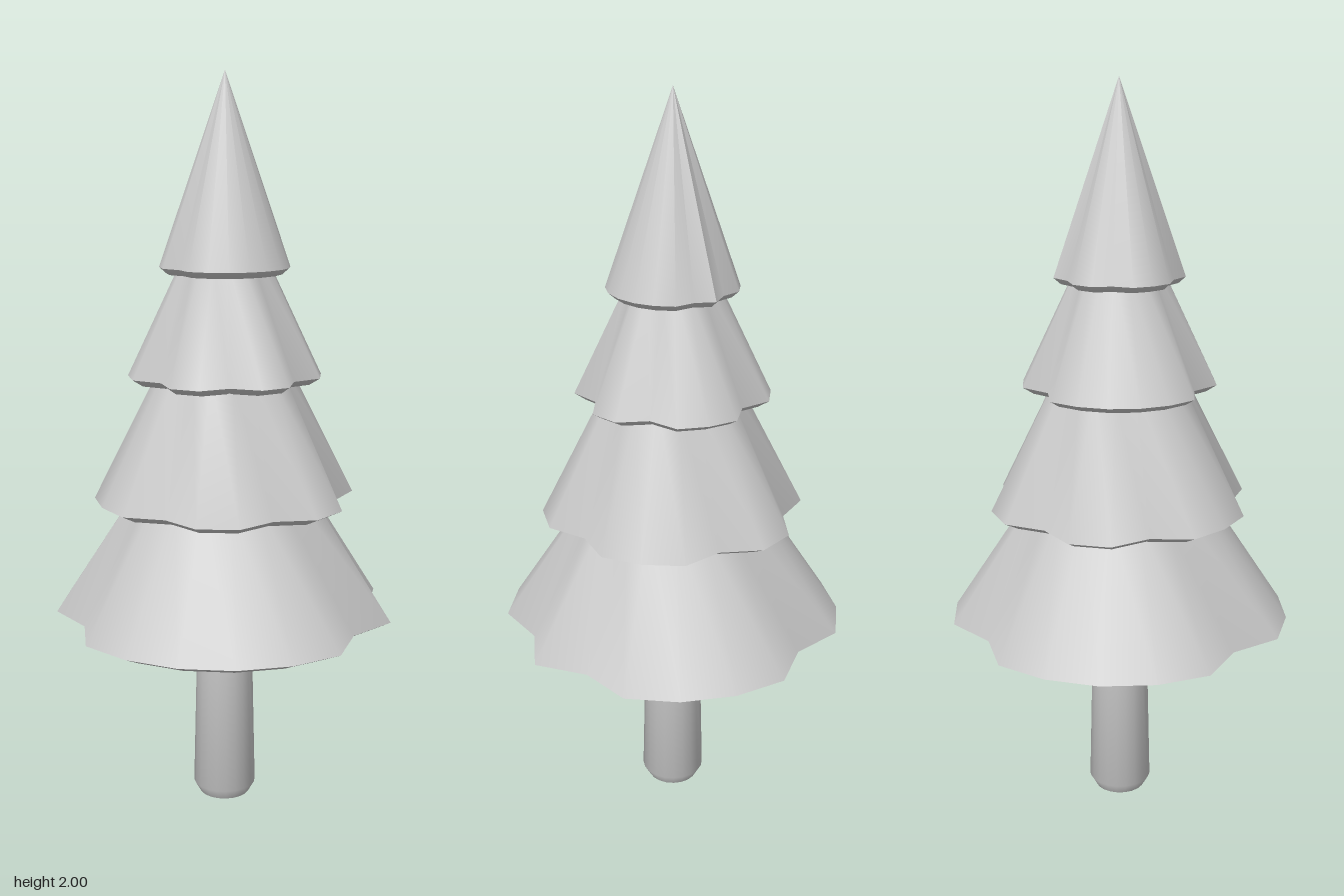
import * as THREE from 'three';
import { toCreasedNormals } from 'three/addons/utils/BufferGeometryUtils.js';

const SIDES = 20;
const material = new THREE.MeshStandardMaterial({ color: 0xcccccc });

// Joins rings of [y, radius, dent] from bottom to top; chosen corners are pulled inwards by dent.
function loft(rings, dents, turn) {
  const positions = [], index = [];
  for (const [y, radius, dent] of rings) {
    for (let i = 0; i < SIDES; i++) {
      const a = (i / SIDES) * Math.PI * 2 - Math.PI / 2 + turn;
      const r = radius * (dents.includes(i) ? dent : 1);
      positions.push(r * Math.cos(a), y, r * Math.sin(a));
    }
  }
  for (let k = 0; k < rings.length - 1; k++) {
    for (let i = 0; i < SIDES; i++) {
      const a = k * SIDES + i, b = k * SIDES + (i + 1) % SIDES;
      if (rings[k + 1][1] > 0) index.push(a, a + SIDES, b + SIDES);
      if (rings[k][1] > 0) index.push(a, rings[k + 1][1] > 0 ? b + SIDES : a + SIDES, b);
    }
  }
  const geometry = new THREE.BufferGeometry();
  geometry.setAttribute('position', new THREE.Float32BufferAttribute(positions, 3));
  geometry.setIndex(index);
  return toCreasedNormals(geometry, 1.0);
}

// Foliage tiers: flat underside, narrow bevel, notched rim, sloping skirt
const tiers = [
  { name: 'bottomTier', base: 0.52, rim: 0.545, r: 0.466, top: 0.9, topR: 0.235, dent: 0.87, dents: [0, 5, 7, 14], turn: 0 },
  { name: 'lowerMiddleTier', base: 0.855, rim: 0.875, r: 0.355, top: 1.23, topR: 0.175, dent: 0.86, dents: [2, 6, 9, 12, 16, 19], turn: -0.047 },
  { name: 'upperMiddleTier', base: 1.19, rim: 1.208, r: 0.26, top: 1.52, topR: 0.112, dent: 0.825, dents: [0, 4, 7, 10, 13], turn: 0 },
  { name: 'topTier', base: 1.48, rim: 1.497, r: 0.174, top: 2, topR: 0, dent: 0.88, dents: [0, 2, 13, 17], turn: 0 },
];

export function createModel() {
  const tree = new THREE.Group();
  tree.name = 'pineTree';

  for (const t of tiers) {
    const rings = [
      [t.base, 0, 1],
      [t.base, t.r * 0.89, t.dent],
      [t.rim, t.r, t.dent],
      [t.top, t.topR, (1 + t.dent) / 2],
    ];
    const tier = new THREE.Mesh(loft(rings, t.dents, t.turn), material);
    tier.name = t.name;
    tree.add(tier);
  }

  // Trunk: slightly tapered with a bevelled foot
  const profile = [[0, 0], [0.07, 0], [0.087, 0.03], [0.075, 0.54]].map(([r, y]) => new THREE.Vector2(r, y));
  const trunk = new THREE.Mesh(toCreasedNormals(new THREE.LatheGeometry(profile, SIDES), 0.8), material);
  trunk.name = 'trunk';
  tree.add(trunk);

  // The trunk axis sits slightly off the centre of the uneven skirt
  tree.position.set(0.008, 0, -0.014);
  return tree;
}
